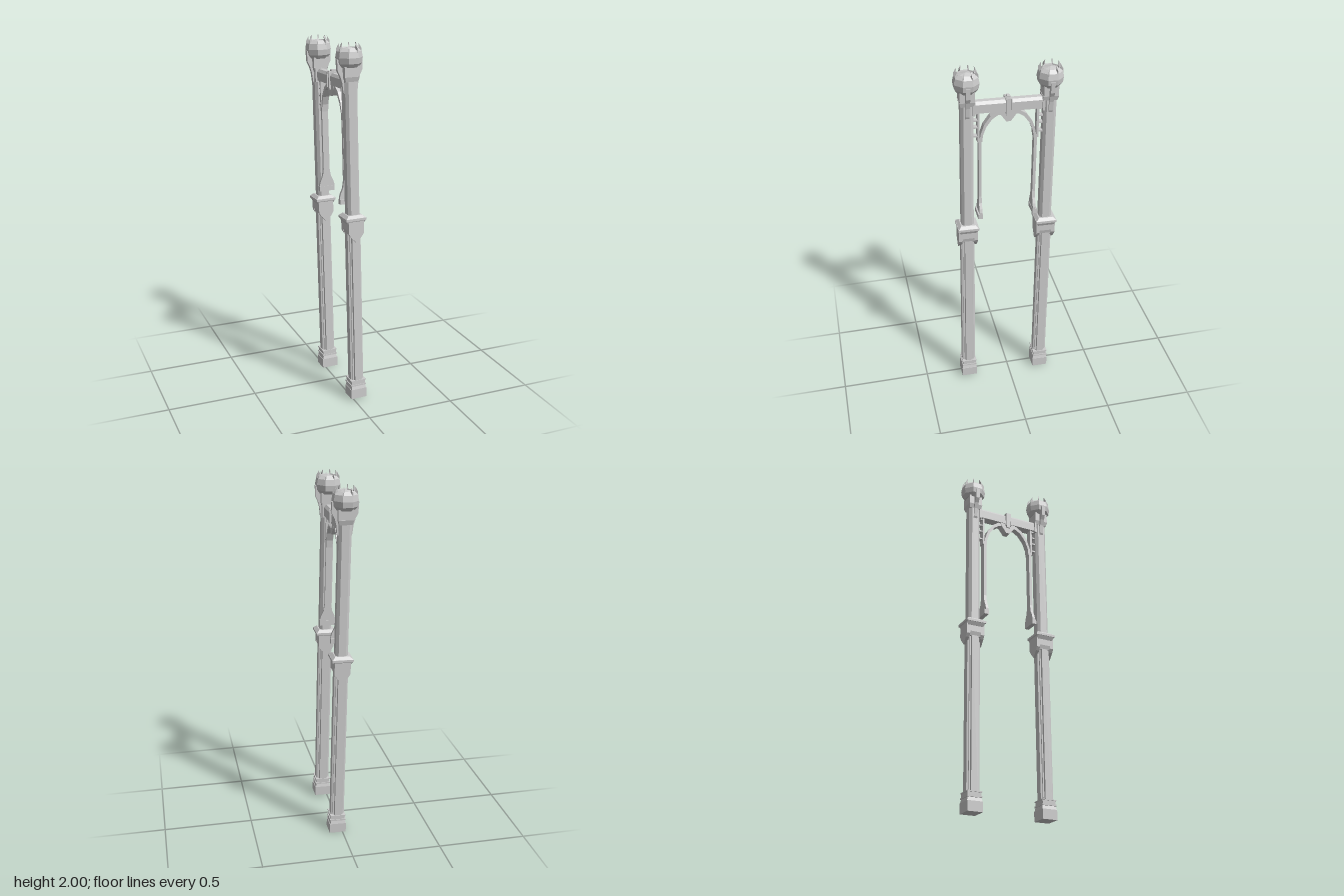
import * as THREE from 'three';

const mat = new THREE.MeshStandardMaterial({ color: 0xcccccc, flatShading: true, side: THREE.DoubleSide });

function add(parent, name, geo, x = 0, y = 0, z = 0) {
  const m = new THREE.Mesh(geo, mat);
  m.name = name;
  m.position.set(x, y, z);
  parent.add(m);
  return m;
}

// box given by its bottom and top heights
function block(parent, name, w, d, y0, y1, x = 0, z = 0) {
  return add(parent, name, new THREE.BoxGeometry(w, y1 - y0, d), x, (y0 + y1) / 2, z);
}

function shapeOf(pts) {
  return new THREE.Shape(pts.map(p => new THREE.Vector2(p[0], p[1])));
}

// outline in x,y pushed along z, centred on z
function slab(pts, depth) {
  return new THREE.ExtrudeGeometry(shapeOf(pts), { depth, bevelEnabled: false }).translate(0, 0, -depth / 2);
}

// plan outline pushed upwards from y0 to y1
function prism(pts, y0, y1) {
  return new THREE.ExtrudeGeometry(shapeOf(pts), { depth: y1 - y0, bevelEnabled: false })
    .rotateX(-Math.PI / 2).translate(0, y0, 0);
}

// repeats a corner outline around the four quadrants
function fourfold(corner) {
  const pts = [];
  for (let i = 0; i < 4; i++) {
    const c = Math.round(Math.cos(i * Math.PI / 2)), s = Math.round(Math.sin(i * Math.PI / 2));
    corner.forEach(([x, y]) => pts.push([x * c - y * s, x * s + y * c]));
  }
  return pts;
}

// square frustum with half-widths at bottom and top
function frustum(h0, h1, y0, y1) {
  return new THREE.CylinderGeometry(h1 * Math.SQRT2, h0 * Math.SQRT2, y1 - y0, 4)
    .rotateY(Math.PI / 4).translate(0, (y0 + y1) / 2, 0);
}

function makePillar() {
  const g = new THREE.Group();
  g.name = 'pillar';

  // stepped foot
  block(g, 'plinth', 0.094, 0.088, 0, 0.055);
  add(g, 'plinthSlope', frustum(0.044, 0.039, 0.055, 0.075));
  block(g, 'footPlate', 0.09, 0.086, 0.075, 0.083);
  block(g, 'footBlock', 0.08, 0.078, 0.083, 0.103);
  block(g, 'footPlate', 0.088, 0.084, 0.103, 0.109);

  // lower shaft with notched corners
  const notched = fourfold([[0.038, 0.019], [0.029, 0.022], [0.029, 0.029], [0.022, 0.029], [0.019, 0.038]]);
  add(g, 'lowerShaft', prism(notched, 0.1, 1.03));

  // collar with pointed shields on front and back
  add(g, 'collarFlare', frustum(0.037, 0.044, 0.975, 1.0));
  block(g, 'collarBlock', 0.088, 0.088, 1.0, 1.045);
  add(g, 'collarSlope', frustum(0.045, 0.055, 1.035, 1.055));
  block(g, 'collarPlate', 0.116, 0.116, 1.055, 1.068);
  add(g, 'collarTop', frustum(0.056, 0.04, 1.068, 1.082));
  const shield = [[-0.044, 1.05], [-0.044, 0.985], [-0.032, 0.965], [0, 0.93], [0.032, 0.965], [0.044, 0.985], [0.044, 1.05]];
  for (const s of [-1, 1]) add(g, 'collarShield', slab(shield, 0.02), 0, 0, s * 0.043);

  // upper shaft with chamfered corners
  add(g, 'upperShaft', prism(fourfold([[0.034, 0.02], [0.02, 0.034]]), 1.07, 1.84));

  // neck and curved side brackets
  add(g, 'neckSlope', frustum(0.034, 0.041, 1.795, 1.82));
  block(g, 'neck', 0.082, 0.078, 1.82, 1.875);
  const bracket = [[0.03, 1.72], [0.039, 1.74], [0.045, 1.79], [0.055, 1.825], [0.068, 1.85], [0.071, 1.91], [0.06, 1.91], [0.03, 1.88]];
  for (const s of [-1, 1]) {
    add(g, 'headBracket', slab(bracket.map(([x, y]) => [x * s, y]), 0.022));
  }

  // eight-sided head with a low cone on top
  const profile = [[0, 1.868], [0.05, 1.868], [0.066, 1.888], [0.071, 1.918], [0.065, 1.95], [0.046, 1.967], [0.044, 1.96], [0, 1.971]]
    .map(p => new THREE.Vector2(p[0], p[1]));
  add(g, 'head', new THREE.LatheGeometry(profile, 8, Math.PI / 8));

  // crown of thin fins on the head's corners
  const fin = [[0.042, 1.955], [0.066, 1.938], [0.064, 1.965], [0.05, 1.989], [0.051, 1.972]];
  for (let i = 0; i < 8; i++) {
    add(g, 'crownFin', slab(fin, 0.005)).rotation.y = Math.PI / 8 + i * Math.PI / 4;
  }
  return g;
}

// arched brace beside one pillar, on the +z side
function makeBrace() {
  const g = new THREE.Group();
  g.name = 'brace';

  // curved rib from the keystone down to the leg, drawn in z,y
  const outer = [[0.03, 1.752], [0.06, 1.748], [0.095, 1.725], [0.13, 1.675], [0.148, 1.62], [0.152, 1.58]];
  const inner = [[0.138, 1.58], [0.134, 1.62], [0.117, 1.665], [0.085, 1.708], [0.055, 1.728], [0.03, 1.73]];
  add(g, 'archRib', slab([...outer, ...inner], 0.036).rotateY(-Math.PI / 2));

  // leg, widening in x at its foot
  const half = [[0.018, 1.6], [0.018, 1.25], [0.024, 1.21], [0.038, 1.18], [0.044, 1.16], [0.044, 1.125]];
  const leg = [...half, ...half.slice().reverse().map(([x, y]) => [-x, y])];
  add(g, 'leg', slab(leg, 0.016), 0, 0, 0.149);
  block(g, 'legFoot', 0.09, 0.026, 1.122, 1.15, 0, 0.152);

  // upright strip and its ties to the pillar
  block(g, 'upright', 0.036, 0.012, 1.58, 1.76, 0, 0.158);
  for (const y of [1.61, 1.66, 1.70, 1.74]) block(g, 'tie', 0.03, 0.04, y, y + 0.008, 0, 0.175);
  return g;
}

export function createModel() {
  const root = new THREE.Group();
  root.name = 'gateway';
  const gate = new THREE.Group();
  gate.name = 'leaningGate';
  root.add(gate);

  for (const s of [-1, 1]) {
    const pillar = makePillar();
    pillar.position.z = s * 0.2195;
    gate.add(pillar);
    const brace = makeBrace();
    if (s < 0) brace.rotation.y = Math.PI;
    gate.add(brace);
    // beam seat against the pillar
    block(gate, 'beamSeat', 0.07, 0.012, 1.74, 1.82, 0, s * 0.184);
  }

  // crossbeam with chamfered edges
  const beam = [[-0.026, 1.75], [0.026, 1.75], [0.026, 1.797], [0.014, 1.812], [-0.014, 1.812], [-0.026, 1.797]];
  add(gate, 'crossbeam', slab(beam, 0.38));

  // clasp and pointed keystone at the middle
  block(gate, 'clasp', 0.058, 0.022, 1.725, 1.822);
  for (const s of [-1, 1]) block(gate, 'claspPlate', 0.068, 0.006, 1.735, 1.818, 0, s * 0.013);
  block(gate, 'claspKnob', 0.03, 0.016, 1.815, 1.83);
  const keystone = [[-0.05, 1.752], [-0.04, 1.728], [-0.012, 1.69], [0.012, 1.69], [0.04, 1.728], [0.05, 1.752]];
  add(gate, 'keystone', slab(keystone, 0.044).rotateY(-Math.PI / 2));

  // the whole gate leans slightly to the right and back
  gate.rotation.set(-0.0208, 0, 0.0195);
  gate.position.set(0.028, 0.0065, 0.028);
  return root;
}
